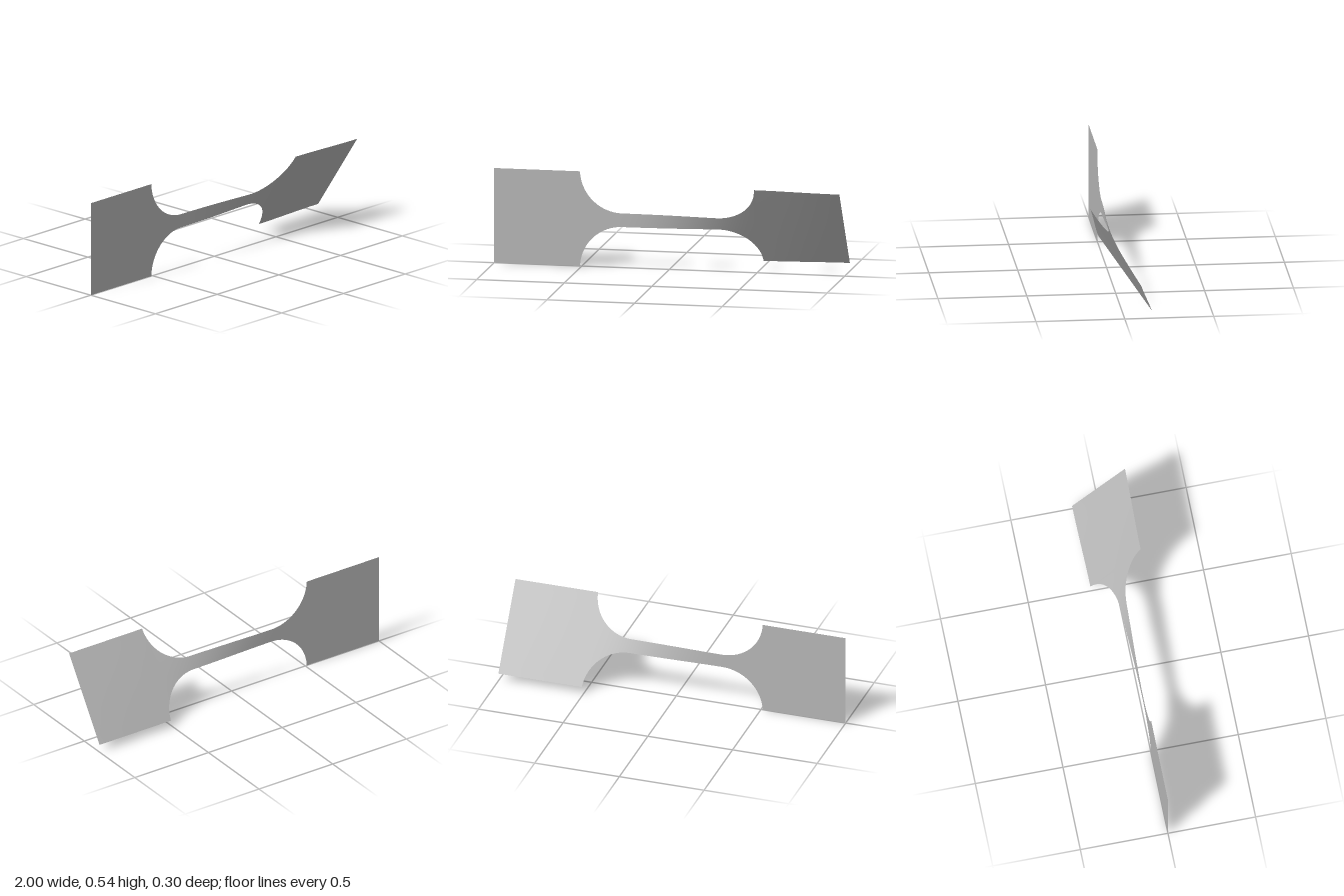
import * as THREE from 'three';

const TAB = 0.27, NECK = 0.039, R = 0.24, NECK_END = 0.27;

// Half height of the strip at x: wide tabs, circular fillets, narrow neck
function halfHeight(x) {
  const d = Math.abs(x) - NECK_END;
  if (d <= 0) return NECK;
  if (d >= R) return TAB;
  return Math.min(TAB, NECK + R - Math.sqrt(R * R - d * d));
}

// Twist about the x axis: mostly in the neck, with a little more along the far tab
function twist(x) {
  const main = 32 * THREE.MathUtils.smoothstep(x, -0.3, 0.5);
  return THREE.MathUtils.degToRad(main + 2 * THREE.MathUtils.smoothstep(x, 0.5, 1));
}

// Column positions, packed closer where the fillets steepen
function columns() {
  const half = [];
  for (let i = 0; i < 14; i++) half.push(NECK_END * i / 14);
  for (let i = 0; i < 28; i++) half.push(NECK_END + R * Math.sin(Math.PI / 2 * i / 28));
  for (let i = 0; i <= 8; i++) half.push(0.51 + 0.49 * i / 8);
  return [...half.slice(1).reverse().map(x => -x), ...half];
}

export function createModel() {
  const group = new THREE.Group();
  group.name = 'twistedSpecimen';
  const grey = new THREE.MeshStandardMaterial({ color: 0xb8b8b8, side: THREE.DoubleSide });
  grey.name = 'grey';

  // One thin sheet, shaped and twisted column by column
  const xs = columns();
  const sheet = new THREE.PlaneGeometry(2, 2, xs.length - 1, 12);
  const p = sheet.attributes.position;
  for (let i = 0; i < p.count; i++) {
    const x = xs[i % xs.length];
    const r = p.getY(i) * halfHeight(x), a = twist(x);
    p.setXYZ(i, x, TAB + r * Math.cos(a), r * Math.sin(a));
  }
  sheet.computeVertexNormals();

  const mesh = new THREE.Mesh(sheet, grey);
  mesh.name = 'twistedStrip';
  group.add(mesh);
  return group;
}
